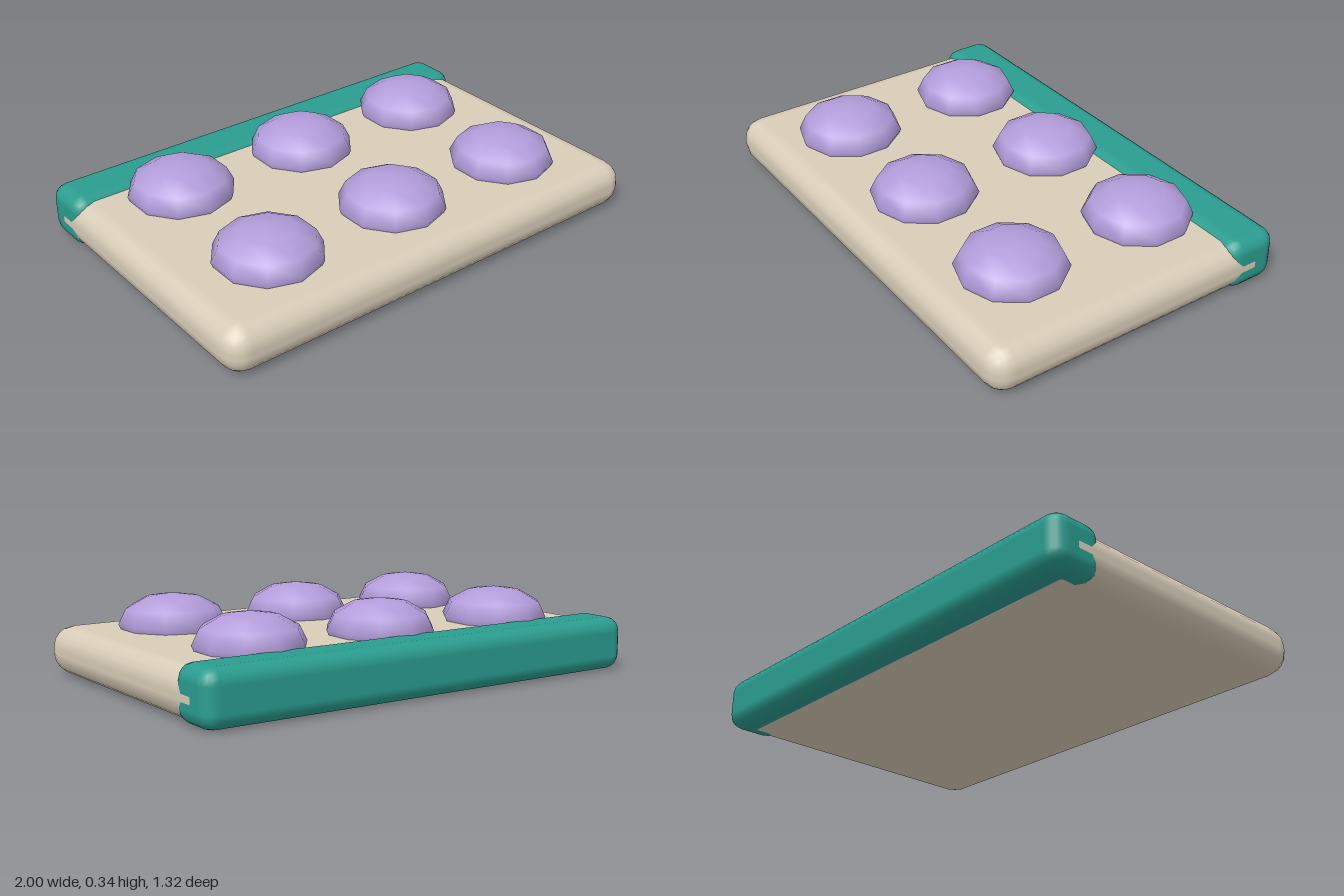
import * as THREE from 'three';
import { RoundedBoxGeometry } from 'three/addons/geometries/RoundedBoxGeometry.js';

const material = (name, color) => {
  const m = new THREE.MeshStandardMaterial({ color });
  m.name = name;
  return m;
};

export function createModel() {
  const beige = material('beige', 0xd8cdb8);
  const teal = material('teal', 0x2a9d8f);
  const lilac = material('lilac', 0xb39ddb);

  const model = new THREE.Group();
  model.name = 'paddedTray';
  const add = (name, geometry, mat, x, y, z) => {
    const mesh = new THREE.Mesh(geometry, mat);
    mesh.name = name;
    mesh.position.set(x, y, z);
    model.add(mesh);
  };

  // Soft-edged slab
  add('slab', new RoundedBoxGeometry(2, 0.2, 1.3, 2, 0.09), beige, 0, 0.1, 0.01);

  // Band wrapped round the back edge, a hair inside the slab's sides and underside
  add('backBand', new RoundedBoxGeometry(1.998, 0.219, 0.23, 2, 0.06), teal, 0, 0.1105, -0.545);

  // Two rows of three flattened domes, half sunk into the slab
  const dome = new THREE.SphereGeometry(0.22, 10, 6);
  dome.rotateY(Math.PI / 2);
  dome.scale(1, 0.55, 1);
  for (const z of [-0.29, 0.31]) {
    for (const x of [-0.6, 0, 0.6]) add('dome', dome, lilac, x, 0.22, z);
  }
  return model;
}
